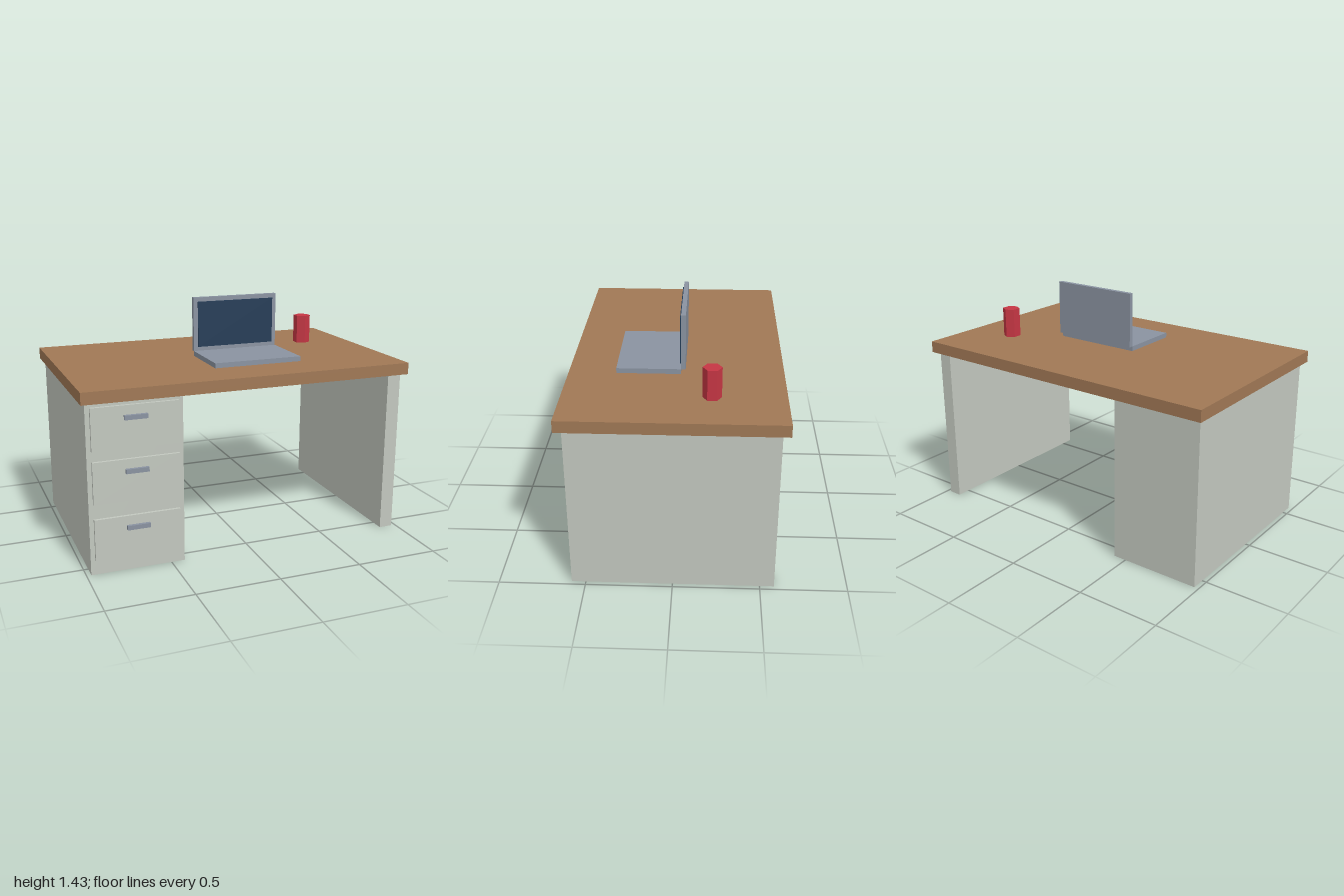
import * as THREE from 'three';

const mat = (name, color) => {
  const m = new THREE.MeshStandardMaterial({ color });
  m.name = name;
  return m;
};

export function createModel() {
  const wood = mat('wood', 0xa07855);
  const paint = mat('palePaint', 0xc3c8bf);
  const metal = mat('greyMetal', 0x8a93a1);
  const glass = mat('darkScreen', 0x223b56);
  const red = mat('redMug', 0xc63644);

  const desk = new THREE.Group();
  desk.name = 'desk';

  // Box given by its extents along each axis
  const box = (parent, name, material, [x0, x1], [y0, y1], [z0, z1]) => {
    const mesh = new THREE.Mesh(new THREE.BoxGeometry(x1 - x0, y1 - y0, z1 - z0), material);
    mesh.position.set((x0 + x1) / 2, (y0 + y1) / 2, (z0 + z1) / 2);
    mesh.name = name;
    parent.add(mesh);
  };

  // Top and supports
  box(desk, 'desktop', wood, [-1, 1], [1, 1.07], [-0.624, 0.624]);
  box(desk, 'drawerCabinet', paint, [-0.973, -0.42], [0, 1], [-0.582, 0.582]);
  box(desk, 'sidePanel', paint, [0.89, 0.973], [0, 1], [-0.582, 0.582]);

  // Drawers with bar handles
  [0.85, 0.543, 0.21].forEach((y, i) => {
    const drawer = new THREE.Group();
    drawer.name = `drawer${i + 1}`;
    box(drawer, 'drawerFront', paint, [-0.947, -0.447], [y - 0.123, y + 0.123], [0.582, 0.599]);
    box(drawer, 'drawerHandle', metal, [-0.763, -0.63], [y + 0.043, y + 0.069], [0.599, 0.618]);
    desk.add(drawer);
  });

  // Open laptop
  const laptop = new THREE.Group();
  laptop.name = 'laptop';
  box(laptop, 'laptopBase', metal, [-0.14, 0.413], [1.07, 1.1], [-0.027, 0.347]);
  box(laptop, 'laptopLid', metal, [-0.14, 0.413], [1.1, 1.433], [-0.054, -0.027]);
  box(laptop, 'laptopScreen', glass, [-0.113, 0.387], [1.125, 1.407], [-0.027, -0.02]);
  desk.add(laptop);

  // Six-sided mug
  const mugGeometry = new THREE.CylinderGeometry(0.054, 0.054, 0.18, 6).toNonIndexed();
  mugGeometry.computeVertexNormals();
  const mug = new THREE.Mesh(mugGeometry, red);
  mug.name = 'mug';
  mug.position.set(0.693, 1.16, -0.208);
  desk.add(mug);

  return desk;
}
